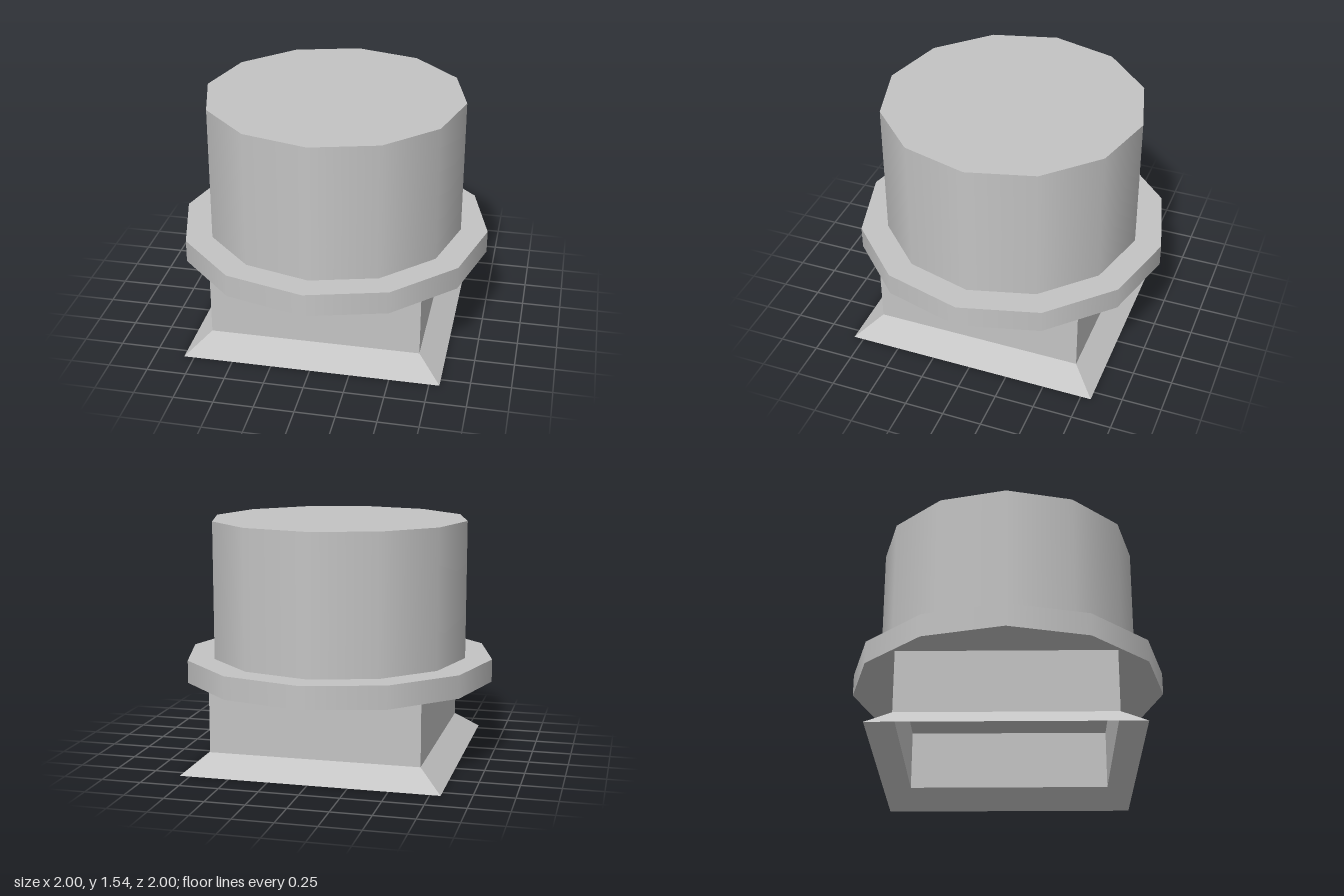
import * as THREE from 'three';

const grey = new THREE.MeshStandardMaterial({ color: 0xc4c4c4, side: THREE.DoubleSide });
grey.name = 'lightGrey';

function addPart(group, name, geometry, bottom, top) {
  const mesh = new THREE.Mesh(geometry, grey);
  mesh.name = name;
  mesh.position.y = (bottom + top) / 2;
  group.add(mesh);
}

// Solid twelve-sided drum with smooth sides and flat caps
function drum(radius, bottom, top) {
  return new THREE.CylinderGeometry(radius, radius, top - bottom, 12);
}

// Open square sleeve with flat walls, sized by its half widths
function squareSleeve(halfTop, halfBottom, bottom, top) {
  const geometry = new THREE.CylinderGeometry(
    halfTop * Math.SQRT2, halfBottom * Math.SQRT2, top - bottom, 4, 1, true
  ).rotateY(Math.PI / 4).toNonIndexed();
  geometry.computeVertexNormals();
  return geometry;
}

export function createModel() {
  const group = new THREE.Group();
  group.name = 'ventCap';

  // Hollow square base, open from below
  addPart(group, 'flaredSkirt', squareSleeve(0.667, 0.815, 0, 0.12), 0, 0.12);
  addPart(group, 'squareNeck', squareSleeve(0.667, 0.667, 0.12, 0.515), 0.12, 0.515);

  // Round flange and cap
  addPart(group, 'flange', drum(1, 0.515, 0.66), 0.515, 0.66);
  addPart(group, 'cap', drum(0.827, 0.66, 1.537), 0.66, 1.537);

  return group;
}
